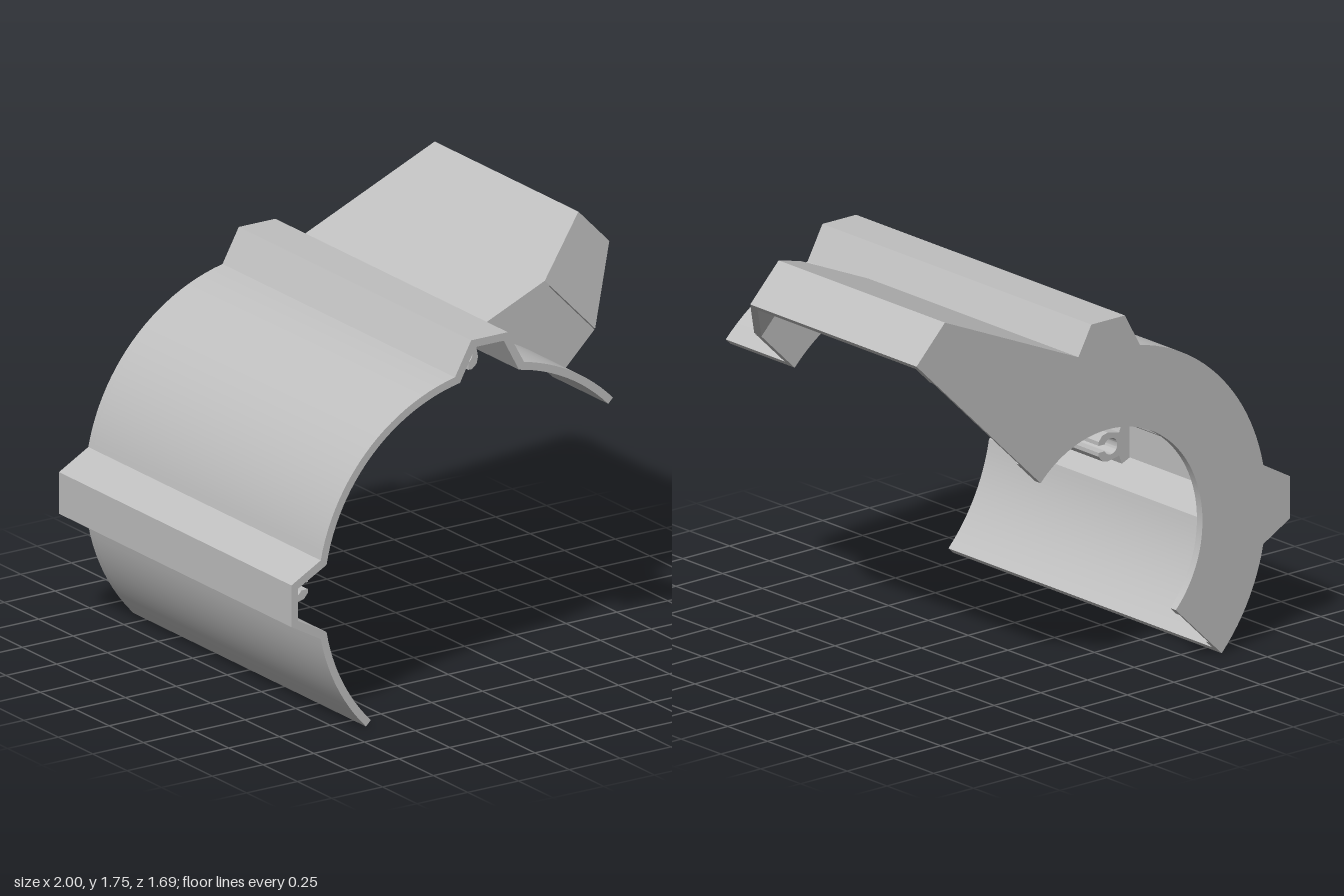
import * as THREE from 'three';
import { toCreasedNormals } from 'three/addons/utils/BufferGeometryUtils.js';

const CUT = 44.2;                       // angle of the split plane, degrees
const R_OUT = 0.848, R_IN = 0.815, R_HOLE = 0.505;
const BACK = -0.845, FLOOR = -0.81, FRONT = 0.845;
const WING_IN = 0.44, WING_FRONT = 0.475, WING_END = 1.432, WALL = 0.036;
const rad = THREE.MathUtils.degToRad;
const C = Math.cos(rad(CUT)), S = Math.sin(rad(CUT));

// point from distance along (u) and above (v) the split plane
const uv = (u, v) => [u * C - v * S, u * S + v * C];
// height of the sloping wing roof above the split plane
const roof = (u) => 0.498 - (u - 0.707) * 0.386;

function arc(r, from, to) {
  const n = Math.max(4, Math.ceil(Math.abs(to - from) / 3));
  return Array.from({ length: n + 1 }, (_, i) => {
    const a = rad(from + (to - from) * i / n);
    return [r * Math.cos(a), r * Math.sin(a)];
  });
}

// half-ring outline with two raised ribs, ending at the right foot of the top rib
function ribbedOutline(r, half, tipHalf, tipR) {
  const d = THREE.MathUtils.radToDeg(Math.asin(half / r));
  return [
    ...arc(r, 180 + CUT, 180 + d),
    [-tipR, -tipHalf], [-tipR, tipHalf],
    ...arc(r, 180 - d, 90 + d),
    [-tipHalf, tipR], [tipHalf, tipR],
    [half, Math.sqrt(r * r - half * half)],
  ];
}

const toShape = (pts) => new THREE.Shape(pts.map(([x, y]) => new THREE.Vector2(x, y)));

function slab(pts, z0, z1) {
  const g = new THREE.ExtrudeGeometry(toShape(pts), { depth: z1 - z0, bevelEnabled: false });
  g.translate(0, 0, z0);
  return toCreasedNormals(g, 0.3);
}

// prism over a (u, z) outline, with its lower and upper heights given by functions of u
function wingPrism(uz, low, high) {
  const g = new THREE.ExtrudeGeometry(toShape(uz.map(([u, z]) => [u, -z])), { depth: 1, bevelEnabled: false });
  const p = g.attributes.position;
  for (let i = 0; i < p.count; i++) {
    const u = p.getX(i), z = -p.getY(i);
    const v = p.getZ(i) > 0.5 ? high(u) : low(u);
    p.setXYZ(i, ...uv(u, v), z);
  }
  g.computeVertexNormals();
  return g;
}

export function createModel() {
  const model = new THREE.Group();
  model.name = 'splitCover';
  const hub = new THREE.Group();
  hub.name = 'coverBody';
  hub.position.set(-0.03, 0.59, 0);
  model.add(hub);

  const gray = new THREE.MeshStandardMaterial({ color: 0xbfbfbf });
  gray.name = 'plainGray';
  const add = (name, geometry) => {
    const m = new THREE.Mesh(geometry, gray);
    m.name = name;
    hub.add(m);
    return m;
  };

  // ribbed half shell
  const outer = ribbedOutline(R_OUT, 0.17, 0.09, 0.975);
  const inner = ribbedOutline(R_IN, 0.145, 0.07, 0.942);
  add('shell', slab([...outer, ...inner.slice().reverse()], FLOOR, FRONT));

  // shell strip in front of the wing
  add('frontShellStrip', slab([
    ...arc(R_OUT, 78.44, CUT), ...arc(R_IN, CUT, 79.75),
  ], WING_IN, FRONT));

  // back plate in two layers, the inner one notched along the split plane
  const plate = (notchTop, notchBottom) => [
    ...outer,
    uv(0.707, roof(0.707)),
    uv(WING_END, roof(WING_END)), uv(WING_END, 0),
    ...notchTop,
    ...arc(R_HOLE, CUT, 180 + CUT),
    ...notchBottom,
  ];
  add('backPlate', slab(plate([], []), BACK, -0.83));
  add('backPlateLip', slab(plate(
    [uv(1.29, 0), uv(1.29, 0.041), uv(0.647, 0.041), uv(0.647, 0)],
    [uv(-0.55, 0), uv(-0.55, 0.037), uv(-0.77, 0.037), uv(-0.77, 0)],
  ), -0.83, FLOOR));

  // hollow wing: roof, end wall, chamfered wall and front wall
  const zero = () => 0;
  add('wingRoof', wingPrism([
    [0.69, FLOOR], [WING_END, FLOOR], [WING_END, 0.2], [1.075, WING_FRONT], [0.69, WING_FRONT],
  ], (u) => roof(u) - WALL, roof));
  add('wingEndWall', wingPrism([
    [1.397, FLOOR], [WING_END, FLOOR], [WING_END, 0.2], [1.397, 0.183],
  ], zero, roof));
  add('wingChamferWall', wingPrism([
    [1.397, 0.183], [WING_END, 0.2], [1.075, WING_FRONT], [1.063, WING_IN],
  ], zero, roof));
  add('wingFrontWall', slab([
    ...arc(0.835, 79, CUT),
    uv(1.07, 0), uv(1.07, roof(1.07)), uv(0.707, roof(0.707)),
  ], WING_IN, WING_FRONT));

  // snap clips inside the two ribs
  const side = [[0.015, -0.064], [0.032, -0.064], [0.055, -0.045], [0.062, -0.015],
    [0.05, 0.045], [0.088, 0.06], [0.07, 0.104]];
  const clip = slab([
    ...side,
    ...side.slice().reverse().map(([x, y]) => [-x, y]),
    ...arc(0.035, 244.6, -64.6),
  ], 0.125, 0.67);
  add('topClip', clip).position.set(0, 0.84, 0);
  const sideClip = add('sideClip', clip);
  sideClip.position.set(-0.84, 0, 0);
  sideClip.rotation.z = Math.PI / 2;

  return model;
}
